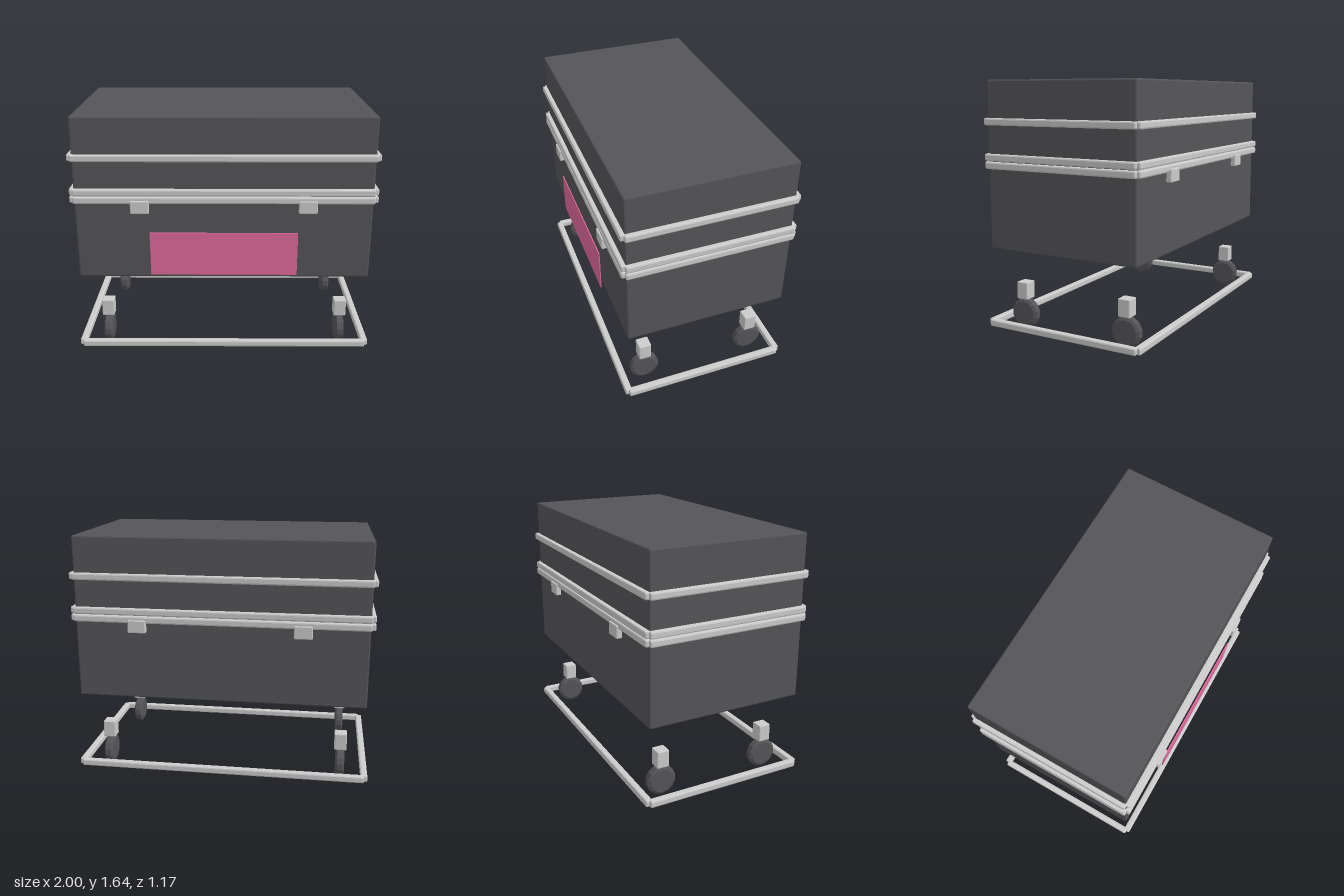
import * as THREE from 'three';
import { RoundedBoxGeometry } from 'three/addons/geometries/RoundedBoxGeometry.js';

const material = (color) => new THREE.MeshStandardMaterial({ color, flatShading: true });

export function createModel() {
  const model = new THREE.Group();
  const metal = material(0xcccccc);
  const dark = material(0x555559);
  const pink = material(0xe0689c);

  // Box with chamfered edges, centred on x, y, z
  const block = (parent, name, mat, [w, h, d], [x, y, z], bevel) => {
    const mesh = new THREE.Mesh(new RoundedBoxGeometry(w, h, d, 1, bevel), mat);
    mesh.name = name;
    mesh.position.set(x, y, z);
    parent.add(mesh);
  };

  // Case: lower body and lid, meeting behind the seam rails
  block(model, 'caseBody', dark, [1.94, 0.575, 1.085], [0, 0.8425, 0], 0.01);
  block(model, 'caseLid', dark, [1.94, 0.525, 1.085], [0, 1.3825, 0], 0.01);

  // Rectangular rail frames; bars run between the corner centre lines
  const rail = 0.046, railX = 0.977, railZ = 0.55;
  const frames = { baseFrame: 0.055, lowerSeamRail: 1.103, upperSeamRail: 1.154, lidRail: 1.382 };
  for (const [name, y] of Object.entries(frames)) {
    const frame = new THREE.Group();
    frame.name = name;
    for (const s of [-1, 1]) {
      block(frame, 'longBar', metal, [railX * 2, rail, rail], [0, y, s * railZ], 0.01);
      block(frame, 'shortBar', metal, [rail, rail, railZ * 2], [s * railX, y, 0], 0.01);
    }
    model.add(frame);
  }

  // Latches on front and back
  for (const x of [-0.545, 0.545]) {
    for (const s of [-1, 1]) {
      block(model, 'latch', metal, [0.12, 0.085, 0.038], [x, 1.06, s * 0.566], 0.006);
    }
  }

  // Label panel in front of the body
  block(model, 'labelPanel', pink, [0.97, 0.3, 0.008], [0, 0.735, 0.574], 0.002);

  // Casters: 14-sided chamfered wheel under a mounting block
  const wheelProfile = [[0, -0.03], [0.08, -0.03], [0.1, -0.019], [0.1, 0.019], [0.08, 0.03], [0, 0.03]]
    .map(([r, y]) => new THREE.Vector2(r, y));
  const wheelGeometry = new THREE.LatheGeometry(wheelProfile, 14);
  wheelGeometry.rotateY(Math.PI / 2).rotateZ(Math.PI / 2);
  for (const x of [-0.815, 0.815]) {
    for (const z of [-0.39, 0.39]) {
      const caster = new THREE.Group();
      caster.name = 'caster';
      caster.position.set(x, 0, z);
      const wheel = new THREE.Mesh(wheelGeometry, dark);
      wheel.name = 'wheel';
      wheel.position.y = 0.1;
      caster.add(wheel);
      block(caster, 'casterMount', metal, [0.084, 0.117, 0.084], [0, 0.259, 0], 0.006);
      model.add(caster);
    }
  }

  return model;
}
